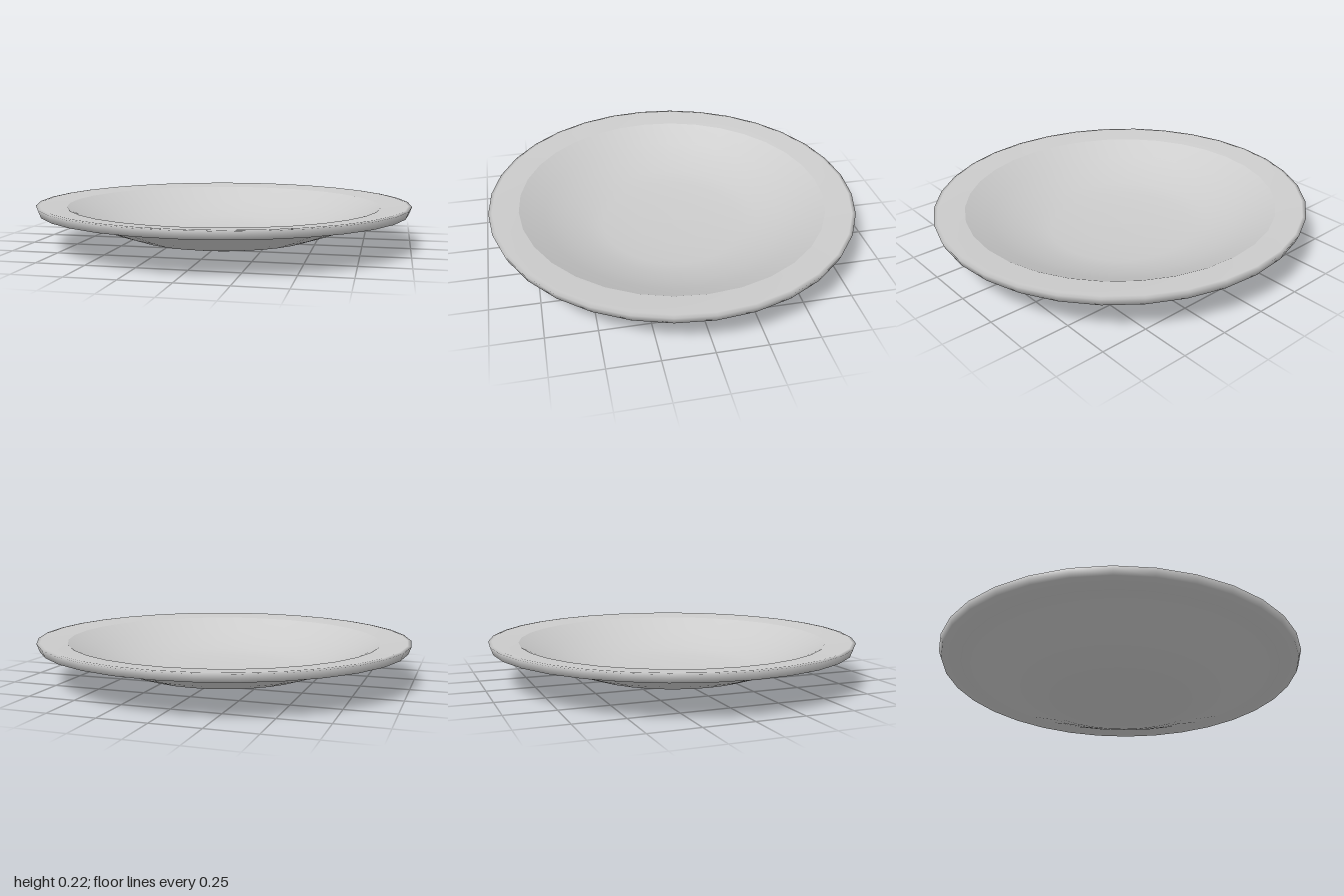
import * as THREE from 'three';

const SEGMENTS = 32;

// Lathe a [radius, height] profile into a named mesh
function turned(name, profile, material) {
  const points = profile.map(([r, y]) => new THREE.Vector2(r, y));
  const mesh = new THREE.Mesh(new THREE.LatheGeometry(points, SEGMENTS), material);
  mesh.name = name;
  return mesh;
}

export function createModel() {
  const plate = new THREE.Group();
  plate.name = 'plate';
  const material = new THREE.MeshStandardMaterial({ color: 0xcccccc });

  // Underside, outer lip and flat rim in one smooth surface
  plate.add(turned('undersideAndRim', [
    [0, 0], [0.2, 0.004], [0.39, 0.018], [0.49, 0.038], [0.6, 0.075],
    [0.72, 0.12], [0.83, 0.162], [0.88, 0.172], [0.985, 0.18],
    [1, 0.22], [0.98, 0.223], [0.84, 0.21],
  ], material));

  // Inner dish, with a crease where it meets the rim
  plate.add(turned('dish', [
    [0.84, 0.21], [0.71, 0.145], [0.6, 0.1], [0.49, 0.066],
    [0.39, 0.046], [0.2, 0.033], [0, 0.03],
  ], material));

  // Slightly oval outline
  plate.scale.z = 0.97;
  return plate;
}
